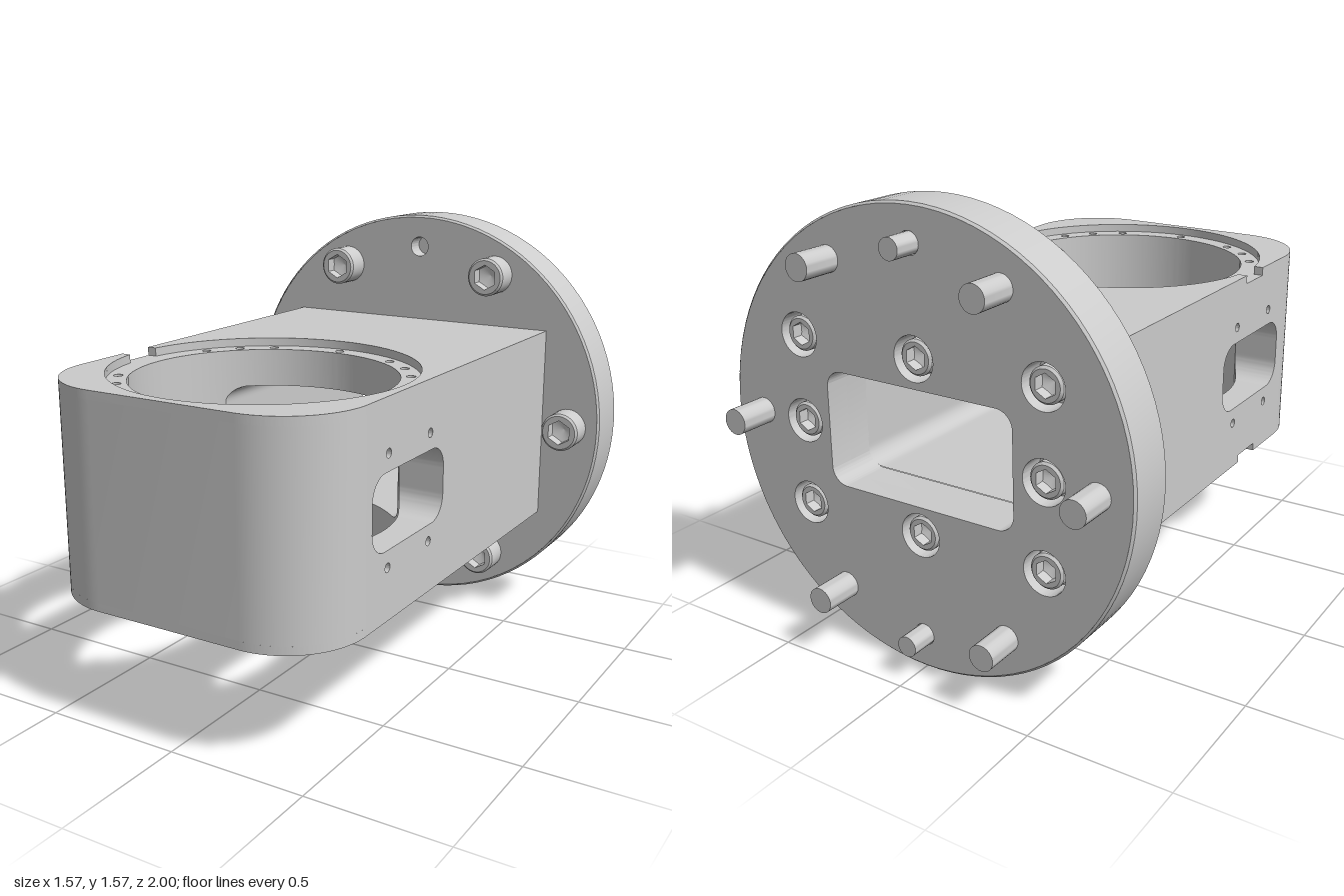
import * as THREE from 'three';
import { toCreasedNormals } from 'three/addons/utils/BufferGeometryUtils.js';

const mat = new THREE.MeshStandardMaterial({ color: 0xcccccc });
const thin = new THREE.MeshStandardMaterial({ color: 0xcccccc, side: THREE.DoubleSide });
const V = (x, y, z) => new THREE.Vector3(x, y, z);

const CY = 0.793;                                  // height of the flange axis
const Y0 = 0.425, Y1 = 1.16, LIP = 0.03;           // housing height, rim recess depth
const HX = 0.555, BACK = -0.68, FRONT = 1, CR = 0.28;
const BR = 0.455, BZ = 0.44;                       // bore radius and centre
const WIN = { w: 0.241, h: 0.128, r: 0.08 };       // side window half sizes
const TUN = { w: 0.365, h: 0.2, r: 0.06 };         // rear tunnel half sizes

function add(parent, name, geo, material = thin) {
  const m = new THREE.Mesh(toCreasedNormals(geo, 0.6), material);
  m.name = name;
  parent.add(m);
  return m;
}

const circle = (x, y, r) => new THREE.Path().absarc(x, y, r, 0, Math.PI * 2);

function roundRect(cx, cy, { w, h, r }) {
  const q = Math.PI / 2, p = new THREE.Path();
  p.absarc(cx + w - r, cy + h - r, r, 0, q);
  p.absarc(cx - w + r, cy + h - r, r, q, 2 * q);
  p.absarc(cx - w + r, cy - h + r, r, 2 * q, 3 * q);
  p.absarc(cx + w - r, cy - h + r, r, 3 * q, 4 * q);
  p.closePath();
  return p;
}

// Half height of a rounded rectangle at distance d from its centre
function halfHeight(d, { w, h, r }) {
  const a = Math.abs(d);
  if (a > w) return 0;
  return a < w - r ? h : h - r + Math.sqrt(r * r - (a - w + r) ** 2);
}

// Surface between two rows of points
function loft(a, b) {
  const pos = [], idx = [], n = a.length;
  [...a, ...b].forEach(p => pos.push(p.x, p.y, p.z));
  for (let i = 0; i < n - 1; i++) idx.push(i, i + 1, n + i, i + 1, n + i + 1, n + i);
  const g = new THREE.BufferGeometry();
  g.setAttribute('position', new THREE.Float32BufferAttribute(pos, 3));
  g.setIndex(idx);
  g.computeVertexNormals();
  return g;
}

// Blind drilled hole opening towards dir
function pit(parent, at, dir, r, depth) {
  const pts = [[0, -depth], [r, -depth], [r, 0]].map(p => new THREE.Vector2(...p));
  const m = add(parent, 'screwHole', new THREE.LatheGeometry(pts, 16));
  m.position.copy(at);
  m.quaternion.setFromUnitVectors(V(0, 1, 0), dir);
}

// Socket head lying along z, top facing +z, base at z = 0
function socketHead(r, depth) {
  const g = new THREE.Group(), c = 0.008;
  g.name = 'screwHead';
  const side = [[r, 0], [r, depth - c], [r - c, depth]].map(p => new THREE.Vector2(...p));
  add(g, 'headSide', new THREE.LatheGeometry(side, 40).rotateX(Math.PI / 2));
  const top = new THREE.Shape().absarc(0, 0, r - c, 0, Math.PI * 2);
  const hex = Array.from({ length: 6 }, (_, i) => new THREE.Vector2(r * 0.66, 0)
    .rotateAround(new THREE.Vector2(), i * Math.PI / 3 + Math.PI / 6));
  top.holes.push(new THREE.Path(hex));
  const half = depth * 0.5;
  add(g, 'headTop', new THREE.ExtrudeGeometry(top,
    { depth: half, bevelEnabled: false, curveSegments: 20 }), mat).position.z = depth - half;
  // Tapered socket floor
  add(g, 'socketFloor', new THREE.ConeGeometry(r * 0.7, 0.02, 24, 1, true)
    .rotateX(-Math.PI / 2)).position.z = depth - half - 0.005;
  return g;
}

function rod(parent, name, x, y, z0, z1, r) {
  const g = new THREE.CylinderGeometry(r, r, z1 - z0, 32).rotateX(Math.PI / 2);
  add(parent, name, g, mat).position.set(x, y, (z0 + z1) / 2);
}

function makeHousing() {
  const g = new THREE.Group();
  g.name = 'housing';
  const ya = Y0 + LIP, yb = Y1 - LIP;

  // Raised rim around the recess, open at the notch on one side
  const RR = 0.525, NZ = 0.07, a = Math.asin(NZ / RR);
  const lip = new THREE.Shape();
  lip.moveTo(-HX, BZ + NZ);
  lip.lineTo(-HX, FRONT - CR);
  lip.absarc(-HX + CR, FRONT - CR, CR, Math.PI, Math.PI / 2, true);
  lip.absarc(HX - CR, FRONT - CR, CR, Math.PI / 2, 0, true);
  lip.lineTo(HX, BACK);
  lip.lineTo(-HX, BACK);
  lip.lineTo(-HX, BZ - NZ);
  lip.absarc(0, BZ, RR, Math.PI + a, 3 * Math.PI - a, false);
  lip.closePath();

  // Recess floor with a ring of drilled holes
  const floor = new THREE.Shape();
  floor.moveTo(-HX, BACK);
  floor.lineTo(HX, BACK);
  floor.absarc(HX - CR, FRONT - CR, CR, 0, Math.PI / 2);
  floor.absarc(-HX + CR, FRONT - CR, CR, Math.PI / 2, Math.PI);
  floor.closePath();
  floor.holes.push(circle(0, BZ, BR));
  const ring = [0, 30, 45, 60, 90, 120, 135, 150, -30, -45, -60, -90, -120, -135, -150]
    .map(d => d * Math.PI / 180).map(t => [0.49 * Math.cos(t), BZ + 0.49 * Math.sin(t)]);
  ring.forEach(([x, z]) => floor.holes.push(circle(x, z, 0.016)));

  for (const [top, y, s] of [[Y1, yb, 1], [ya, ya, -1]]) {
    add(g, 'rim', new THREE.ExtrudeGeometry(lip, { depth: LIP, bevelEnabled: false, curveSegments: 48 })
      .rotateX(Math.PI / 2), mat).position.y = top;
    add(g, 'recessFloor', new THREE.ShapeGeometry(floor, 48).rotateX(Math.PI / 2)).position.y = y;
    ring.forEach(([x, z]) => pit(g, V(x, y, z), V(0, s, 0), 0.016, 0.05));
  }

  // Side panels with window, window walls and screw holes
  const windowPath = roundRect(BZ + 0.004, CY, WIN);
  const spots = [[0.585, 0.98], [0.305, 0.98], [0.585, 0.607], [0.305, 0.607]];
  const panel = new THREE.Shape([[BACK, ya], [FRONT - CR, ya], [FRONT - CR, yb], [BACK, yb]]
    .map(p => new THREE.Vector2(...p)));
  panel.holes.push(windowPath, ...spots.map(([z, y]) => circle(z, y, 0.016)));
  const winPts = windowPath.getSpacedPoints(180);
  for (const s of [1, -1]) {
    add(g, 'sidePanel', new THREE.ShapeGeometry(panel, 16).rotateY(-Math.PI / 2)).position.x = s * HX;
    add(g, 'windowWall', loft(
      winPts.map(p => V(s * HX, p.y, p.x)),
      winPts.map(p => V(s * Math.sqrt(BR * BR - (p.x - BZ) ** 2), p.y, p.x))));
    spots.forEach(([z, y]) => pit(g, V(s * HX, y, z), V(s, 0, 0), 0.016, 0.05));
  }

  // Rounded front wall
  const front = [];
  for (const [s, from] of [[1, 0], [-1, Math.PI / 2]])
    for (let i = 0; i <= 20; i++) {
      const t = from + i / 20 * Math.PI / 2;
      front.push([s * (HX - CR) + CR * Math.cos(t), FRONT - CR + CR * Math.sin(t)]);
    }
  add(g, 'frontWall', loft(front.map(([x, z]) => V(x, ya, z)), front.map(([x, z]) => V(x, yb, z))));

  // Bore wall, split where the windows and the tunnel cut through it
  const rows = [[], [], [], []];
  for (let i = 0; i <= 360; i++) {
    const t = i / 360 * Math.PI * 2, x = BR * Math.cos(t), z = BZ + BR * Math.sin(t);
    const h = z < BZ && Math.abs(x) < TUN.w ? halfHeight(x, TUN) : halfHeight(z - BZ - 0.004, WIN);
    [ya, CY - h, CY + h, yb].forEach((y, k) => rows[k].push(V(x, y, z)));
  }
  add(g, 'boreWallLower', loft(rows[0], rows[1]));
  add(g, 'boreWallUpper', loft(rows[2], rows[3]));

  // Tunnel from the flange into the bore
  const tun = roundRect(0, CY, TUN).getSpacedPoints(200);
  add(g, 'tunnelWall', loft(tun.map(p => V(p.x, p.y, BACK)),
    tun.map(p => V(p.x, p.y, BZ - Math.sqrt(BR * BR - p.x * p.x)))));
  return g;
}

function makeFlange() {
  const g = new THREE.Group();
  g.name = 'flange';
  const R = 0.787, c = 0.008, zb = -0.863, zf = -0.676, zm = zb + 0.09;
  const pins = [-0.663, 0.663];
  const inner = [[0, 0.3], [0, -0.3]];
  for (const s of [1, -1]) for (const y of [-0.3, 0, 0.3]) inner.push([s * 0.476, y]);

  // Disc in two layers; the rear one carries the counterbores
  for (const [z0, z1, bores] of [[zb, zm, inner], [zm, zf, []]]) {
    const disc = new THREE.Shape().absarc(0, 0, R - c, 0, Math.PI * 2);
    disc.holes.push(roundRect(0, 0, TUN));
    pins.forEach(y => disc.holes.push(circle(0, y, 0.038)));
    bores.forEach(([x, y]) => disc.holes.push(circle(x, y, 0.076)));
    add(g, 'disc', new THREE.ExtrudeGeometry(disc,
      { depth: z1 - z0, bevelEnabled: false, curveSegments: 40 }), mat).position.z = z0;
  }
  const rim = [[R - c, zb], [R, zb + c], [R, zf - c], [R - c, zf]].map(p => new THREE.Vector2(...p));
  add(g, 'discRim', new THREE.LatheGeometry(rim, 96).rotateX(Math.PI / 2));

  // Recessed screws holding the housing
  inner.forEach(([x, y]) => {
    const h = socketHead(0.06, 0.08);
    h.rotation.y = Math.PI;
    h.position.set(x, y, zm);
    g.add(h);
  });

  // Mounting bolts around the edge
  for (let i = 0; i < 6; i++) {
    const t = i * Math.PI / 3, x = 0.661 * Math.cos(t), y = 0.661 * Math.sin(t);
    const h = socketHead(0.073, 0.095);
    h.position.set(x, y, zf);
    g.add(h);
    rod(g, 'boltShank', x, y, -1, zb + 0.02, 0.045);
  }
  // Locating pins
  pins.forEach(y => rod(g, 'locatingPin', 0, y, -0.957, -0.74, 0.036));
  g.position.y = CY - 0.004;
  return g;
}

export function createModel() {
  const model = new THREE.Group();
  model.name = 'flangedHousing';
  model.add(makeHousing(), makeFlange());
  return model;
}
